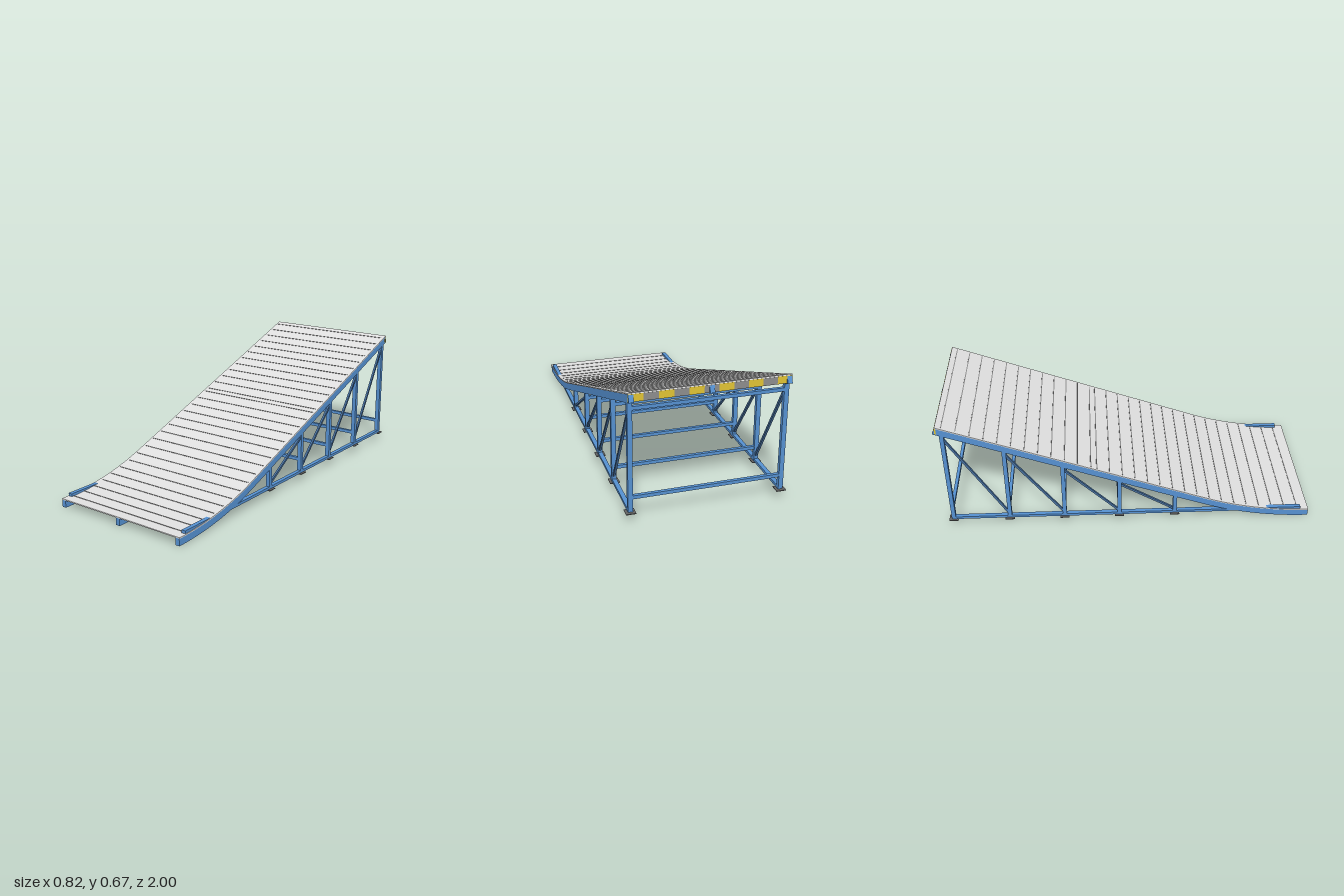
import * as THREE from 'three';

const ANGLE = Math.atan(0.37);             // slope of the straight run
const START_Z = 1, START_Y = 0.045;        // front lip of the deck surface
const ARC_RUN = 0.58;                      // horizontal length of the curved entry
const RADIUS = ARC_RUN / Math.sin(ANGLE);
const ARC = RADIUS * ANGLE;
const LENGTH = 2.091;                      // full length along the deck
const SIDE_X = 0.383;

// Point on the deck surface at a distance along it, sunk by depth at right angles
function deckPoint(s, depth = 0) {
  const a = Math.min(s, ARC) / RADIUS;
  const rest = Math.max(0, s - ARC);
  const z = START_Z - RADIUS * Math.sin(a) - rest * Math.cos(a);
  const y = START_Y + RADIUS * (1 - Math.cos(a)) + rest * Math.sin(a);
  return { a, z: z - depth * Math.sin(a), y: y - depth * Math.cos(a) };
}

// Height of the straight run above a given z
const slopeY = (z) => {
  const p = deckPoint(ARC);
  return p.y + (p.z - z) * Math.tan(ANGLE);
};

export function createModel() {
  const model = new THREE.Group();
  model.name = 'ramp';
  const mat = (name, color) => {
    const m = new THREE.MeshStandardMaterial({ color });
    m.name = name;
    return m;
  };
  const blue = mat('blueSteel', 0x5590d0);
  const braceBlue = mat('braceBlue', 0x466f9e);
  const grey = mat('deckGrey', 0xdfdfdf);
  const midGrey = mat('midGrey', 0x8c8c8c);
  const footGrey = mat('footGrey', 0x626262);
  const yellow = mat('hazardYellow', 0xe0c234);

  const add = (name, geometry, material, x = 0, y = 0, z = 0, rx = 0) => {
    const mesh = new THREE.Mesh(geometry, material);
    mesh.name = name;
    mesh.position.set(x, y, z);
    mesh.rotation.x = rx;
    model.add(mesh);
  };
  const box = (name, material, w, h, d, x, y, z, rx) =>
    add(name, new THREE.BoxGeometry(w, h, d), material, x, y, z, rx);

  // Strip that follows the deck curve between two depths
  function sweep(name, material, width, top, bottom, x) {
    const stations = [];
    for (let i = 0; i <= 16; i++) stations.push(ARC * i / 16);
    stations.push(LENGTH);
    const pts = [
      ...stations.map((s) => deckPoint(s, bottom)),
      ...stations.reverse().map((s) => deckPoint(s, top)),
    ].map((p) => new THREE.Vector2(-p.z, p.y));
    const g = new THREE.ExtrudeGeometry(new THREE.Shape(pts), { depth: width, bevelEnabled: false });
    g.translate(0, 0, -width / 2);
    g.rotateY(Math.PI / 2);
    add(name, g, material, x);
  }

  // Deck and the three curved beams beneath it
  sweep('deck', grey, 0.796, 0, 0.006, 0);
  for (const x of [-SIDE_X, 0, SIDE_X]) sweep('deckBeam', blue, 0.024, 0.006, 0.045, x);

  // Grip ribs on the two deck panels
  const rib = (s) => {
    const p = deckPoint(s);
    box('gripRib', midGrey, 0.768, 0.004, 0.005, 0, p.y, p.z, p.a);
  };
  for (let i = 0; i < 17; i++) rib(1.220 - 0.0725 * i);
  for (let i = 0; i < 12; i++) rib(2.059 - 0.0732 * i);

  // Upright striped warning board across the high end, with the beam ends poking through
  const lip = deckPoint(LENGTH, 0.006);
  const segment = 0.792 / 11;
  for (let i = 0; i < 11; i++) {
    box('warningBoard', i % 2 ? midGrey : yellow, segment, 0.038, 0.008,
      (i - 5) * segment, lip.y - 0.019, lip.z + 0.003);
  }

  // Side frames: ground rails, posts, foot plates and diagonals
  const posts = [0.255, -0.05, -0.35, -0.65, -0.957];
  const railY = 0.054;
  for (const x of [-SIDE_X, SIDE_X]) {
    box('groundRail', blue, 0.023, 0.015, 1.92, x, railY, -0.005);
    posts.forEach((z, i) => {
      const top = slopeY(z) - 0.044;
      box('post', blue, 0.024, top - railY, 0.022, x, (top + railY) / 2, z);
      box('footPlate', footGrey, 0.05, 0.004, 0.05, x, 0.046, z);
      if (i === 0) return;
      const z0 = posts[i - 1], y0 = 0.068, y1 = top - 0.022;
      const dz = z0 - z, dy = y1 - y0;
      box('diagonalBrace', braceBlue, 0.012, 0.012, Math.hypot(dz, dy),
        x, (y0 + y1) / 2, (z0 + z) / 2, Math.atan2(dy, dz));
    });
  }

  // Cross bars joining the two side frames
  for (const z of posts.slice(1)) {
    box('lowerCrossBar', blue, SIDE_X * 2, 0.018, 0.018, 0, 0.125, z);
    box('upperCrossBar', blue, SIDE_X * 2, 0.018, 0.018, 0, slopeY(z) - 0.075, z);
  }
  return model;
}
